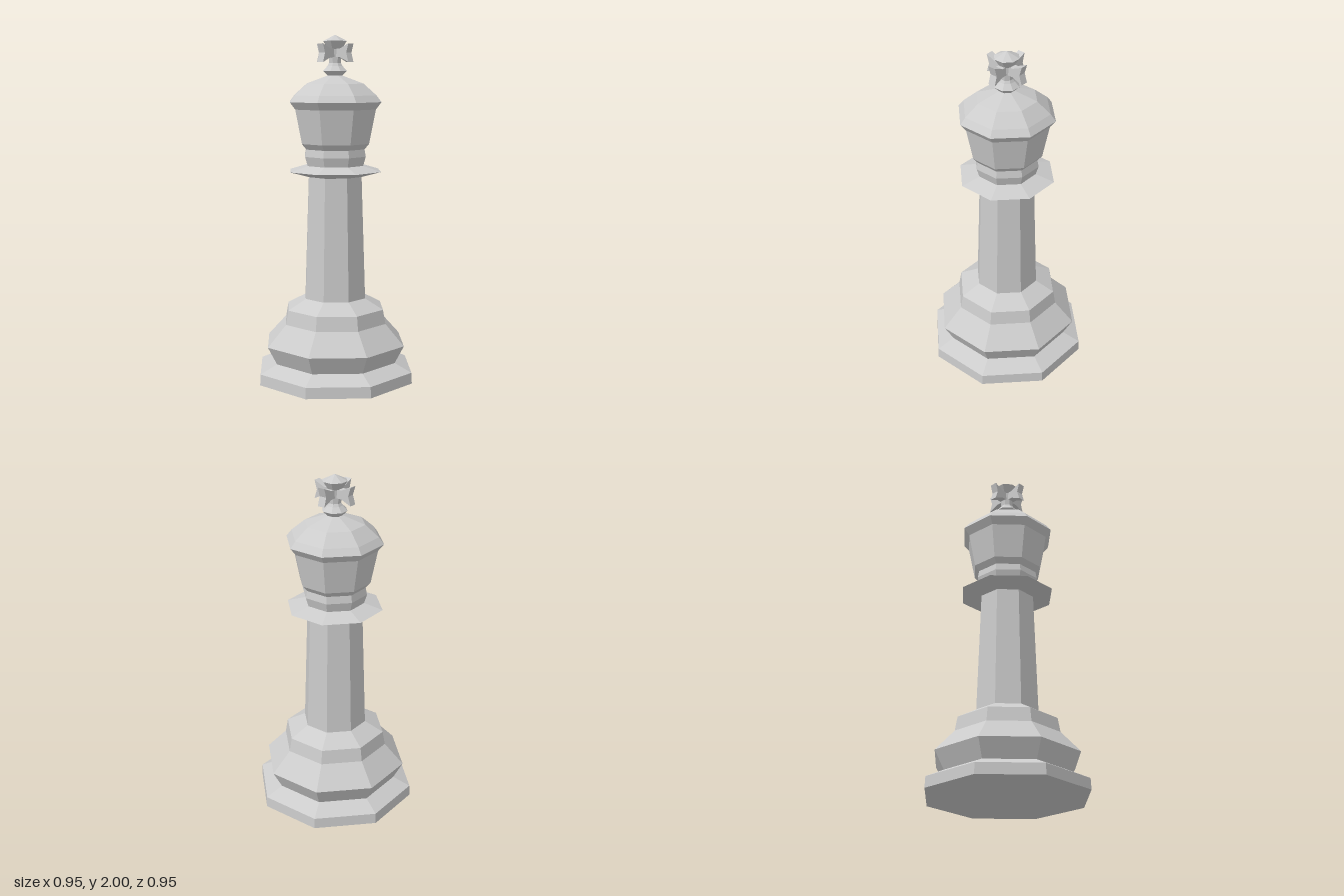
import * as THREE from 'three';

const material = new THREE.MeshStandardMaterial({ color: 0xcccccc, flatShading: true });

// Eight-sided turned part from [radius, height] pairs, bottom to top
function turned(name, profile) {
  const points = profile.map(([r, y]) => new THREE.Vector2(r, y));
  const mesh = new THREE.Mesh(new THREE.LatheGeometry(points, 8), material);
  mesh.name = name;
  return mesh;
}

// Flared cross arm with a notched end, pointing along +x
function armGeometry() {
  const shape = new THREE.Shape([
    [0, -0.025], [0.06, -0.025], [0.122, -0.052], [0.106, 0],
    [0.122, 0.052], [0.06, 0.025], [0, 0.025],
  ].map(([x, y]) => new THREE.Vector2(x, y)));
  const width = 0.044;
  const geometry = new THREE.ExtrudeGeometry(shape, { depth: width, bevelEnabled: false });
  return geometry.translate(0, 0, -width / 2);
}

export function createModel() {
  const king = new THREE.Group();
  king.name = 'chessKing';

  // Stepped foot, closed underneath
  king.add(turned('base', [
    [0, 0], [0.475, 0], [0.472, 0.064], [0.37, 0.112], [0.425, 0.217],
    [0.312, 0.34], [0.297, 0.423], [0.187, 0.482],
  ]));
  king.add(turned('shaft', [[0.187, 0.482], [0.163, 1.193]]));

  // Sharp collar and the ring above it
  king.add(turned('collar', [[0.163, 1.193], [0.28, 1.225], [0.172, 1.257]]));
  king.add(turned('neckRing', [[0.172, 1.257], [0.188, 1.31], [0.18, 1.352]]));

  // Flared head with a domed top
  king.add(turned('head', [
    [0.18, 1.352], [0.207, 1.384], [0.247, 1.58], [0.28, 1.622],
    [0.25, 1.66], [0.173, 1.725], [0.045, 1.77],
  ]));

  // Finial bead, stem and pointed cap
  king.add(turned('finial', [
    [0.045, 1.77], [0.073, 1.797], [0.045, 1.825], [0.036, 1.84],
    [0.042, 1.92], [0.072, 1.965], [0, 2],
  ]));

  // Four arms around the stem
  const cross = new THREE.Group();
  cross.name = 'cross';
  const geometry = armGeometry();
  for (let i = 0; i < 4; i++) {
    const arm = new THREE.Mesh(geometry, material);
    arm.name = 'crossArm';
    arm.position.y = 1.898;
    arm.rotation.y = -Math.PI / 8 + i * Math.PI / 2;
    cross.add(arm);
  }
  king.add(cross);

  return king;
}
